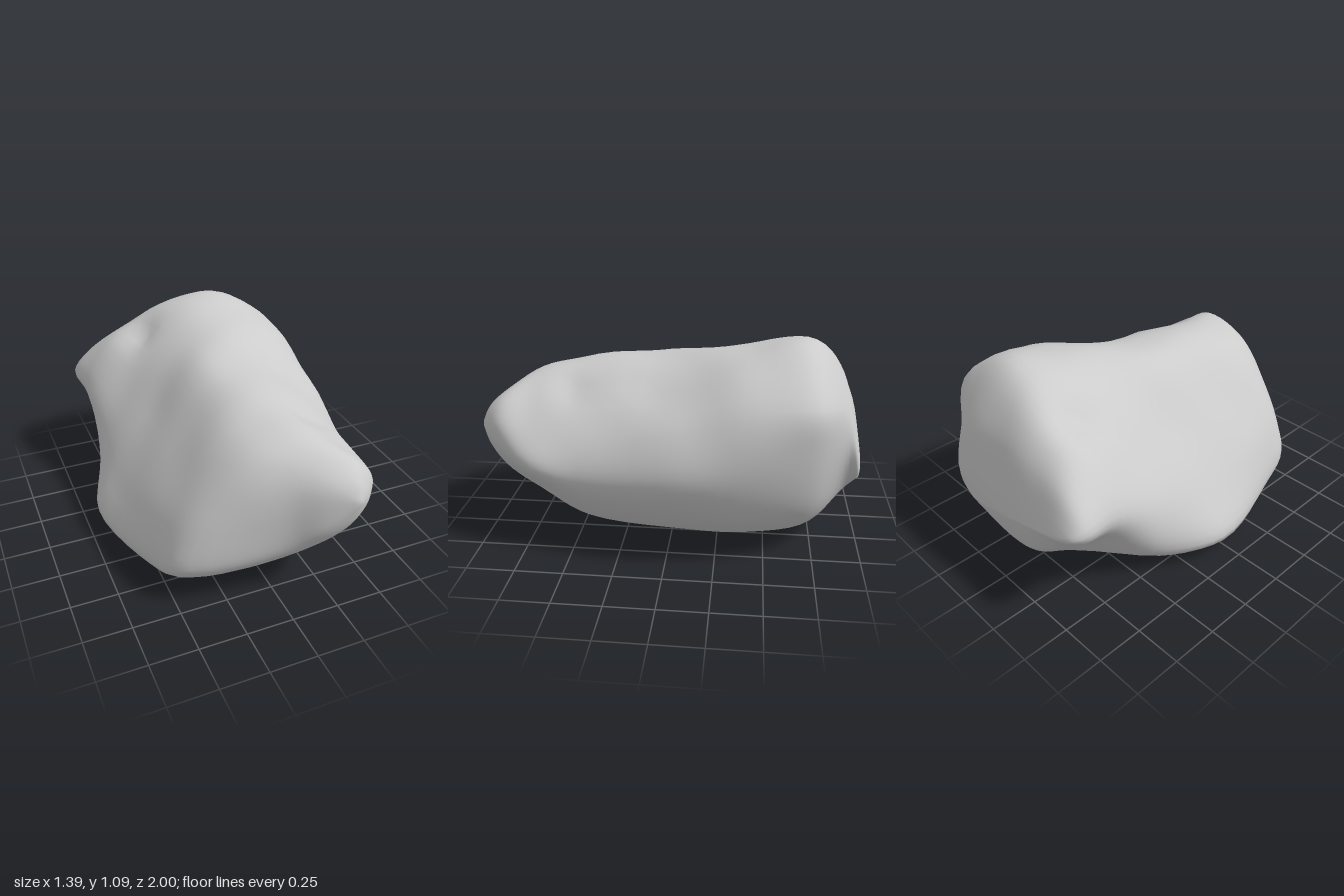
import * as THREE from 'three';
import { mergeVertices } from 'three/addons/utils/BufferGeometryUtils.js';

// Cross-sections from nose to back; x,y pairs run bottom-left, bottom, right, top, left
const SECTIONS = [
  [0.87, [.03, .36, .15, .32, .3, .36, .4, .45, .46, .56, .44, .68, .32, .79, .13, .77, .04, .69, 0, .53]],
  [0.7, [-.47, .2, -.1, .14, .23, .2, .45, .36, .57, .5, .48, .66, .21, .86, -.05, .85, -.24, .69, -.42, .41]],
  [0.45, [-.55, .09, -.1, .05, .27, .08, .51, .27, .6, .45, .51, .65, .17, .91, -.1, .89, -.33, .65, -.51, .38]],
  [-0.07, [-.69, .11, -.25, .01, .28, .03, .56, .24, .69, .5, .58, .75, .19, .96, -.07, .95, -.36, .65, -.58, .35]],
  [-0.4, [-.56, .14, -.25, .01, .28, .03, .57, .25, .68, .56, .61, .84, .3, 1.03, -.02, 1, -.33, .74, -.55, .44]],
  [-0.72, [-.43, .35, -.08, .07, .25, .08, .49, .29, .6, .64, .59, .86, .2, 1.08, -.08, 1.02, -.4, .82, -.57, .57]],
  [-0.9, [-.38, .4, -.12, .21, .1, .2, .28, .32, .41, .57, .39, .77, .1, .86, -.2, .83, -.45, .75, -.59, .59]],
];
const NOSE = new THREE.Vector3(0.31, 0.62, 1);
const BACK = new THREE.Vector3(-0.08, 0.46, -1);

// Shallow hollows in the upper surface: x, y, z, radius, depth
const HOLLOWS = [
  [-0.24, 0.93, -0.64, 0.14, 0.06],
  [0.3, 0.83, 0.52, 0.12, 0.03],
  [0.38, 0.86, 0.1, 0.15, 0.03],
];

function weather(p) {
  const inward = new THREE.Vector3(0.02, 0.45, p.z * 0.7).sub(p).normalize();
  let depth = 0;
  for (const [x, y, z, r, d] of HOLLOWS) {
    const q = p.distanceToSquared(new THREE.Vector3(x, y, z)) / (r * r);
    depth += d * Math.exp(-2 * q);
  }
  // Gentle lumps, fading out towards the smooth underside
  const fade = THREE.MathUtils.smoothstep(p.y, 0.35, 0.75);
  depth += 0.008 * fade * Math.sin(13 * p.x + 4 * p.z) * Math.sin(11 * p.z - 5 * p.x + 1);
  return p.addScaledVector(inward, depth);
}

// Copy of a ring, scaled about an end point, sloped sideways and moved to z
const shrink = (ring, end, sx, sy, slope, z) => ring.map((p) => {
  const dx = (p.x - end.x) * sx;
  return new THREE.Vector3(end.x + dx, end.y + (p.y - end.y) * sy + dx * slope, z);
});

function rockGeometry(around = 56, along = 52) {
  // Smooth closed ring for each cross-section
  const rings = SECTIONS.map(([z, c]) => {
    const pts = [];
    for (let i = 0; i < c.length; i += 2) pts.push(new THREE.Vector3(c[i], c[i + 1], z));
    const curve = new THREE.CatmullRomCurve3(pts, true);
    return Array.from({ length: around }, (_, j) => curve.getPoint(j / around));
  });
  // Blunt nose, and a wide low ridge sloping across the back
  rings.unshift(shrink(rings[0], NOSE, 0.5, 0.55, 0, 0.955));
  rings.push(shrink(rings.at(-1), BACK, 0.9, 0.42, -0.14, -0.97));

  // Lengthwise curves through the rings, nose to back
  const positions = [];
  for (let j = 0; j < around; j++) {
    const curve = new THREE.CatmullRomCurve3([NOSE, ...rings.map((r) => r[j]), BACK]);
    for (let i = 0; i <= along; i++) {
      const p = curve.getPoint(i / along);
      if (i > 0 && i < along) weather(p);
      positions.push(p.x, Math.max(p.y, 0), p.z);
    }
  }
  const index = [];
  const id = (i, j) => (j % around) * (along + 1) + i;
  for (let j = 0; j < around; j++) {
    for (let i = 0; i < along; i++) {
      const a = id(i, j), b = id(i, j + 1), c = id(i + 1, j), d = id(i + 1, j + 1);
      if (i > 0) index.push(a, c, b);
      if (i < along - 1) index.push(b, c, d);
    }
  }
  let geo = new THREE.BufferGeometry();
  geo.setAttribute('position', new THREE.Float32BufferAttribute(positions, 3));
  geo.setIndex(index);
  geo = mergeVertices(geo, 1e-5);
  geo.computeBoundingBox();
  geo.translate(0, -geo.boundingBox.min.y, 0);
  geo.computeVertexNormals();
  return geo;
}

export function createModel() {
  const group = new THREE.Group();
  group.name = 'rock';
  const boulder = new THREE.Mesh(rockGeometry(), new THREE.MeshStandardMaterial({ color: 0xcccccc }));
  boulder.name = 'boulder';
  group.add(boulder);
  return group;
}
